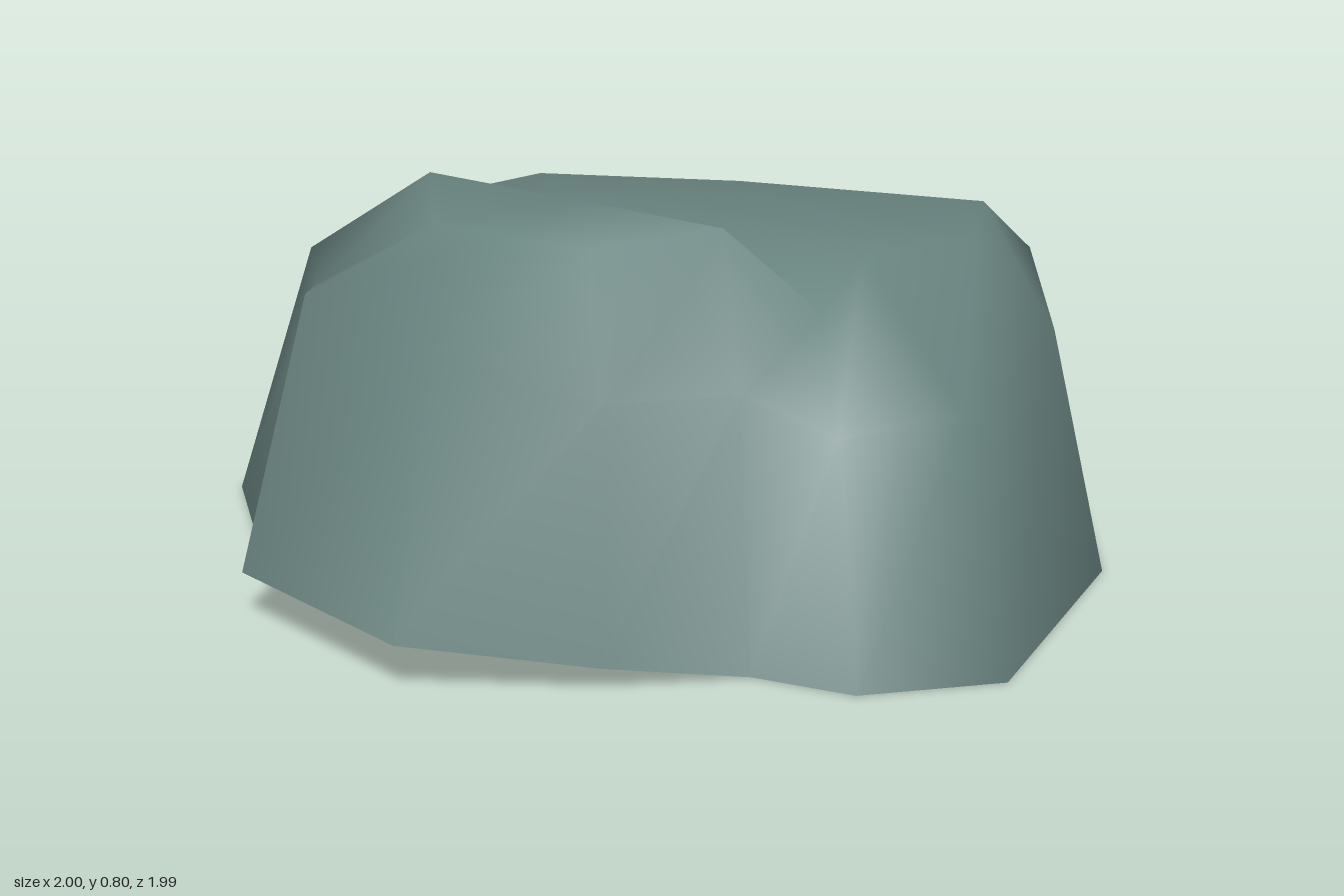
import * as THREE from 'three';

// Each rib climbs the rock from its foot to the shoulder to the rim of the crown: [x, y, z].
const ribs = [
  [[0.28, 0, -1], [0.27, 0.515, -0.85], [0.24, 0.635, -0.72]],
  [[0.76, 0, -0.44], [0.67, 0.5, -0.38], [0.5, 0.67, -0.34]],
  [[1, 0, 0.21], [0.83, 0.47, 0.13], [0.53, 0.71, 0.06]],
  [[0.83, 0, 0.45], [0.72, 0.45, 0.37], [0.63, 0.665, 0.31]],
  [[0.62, 0, 0.5], [0.5, 0.5, 0.39], [0.39, 0.79, 0.31]],
  [[0.46, 0.045, 0.74], [0.39, 0.52, 0.65], [0.29, 0.785, 0.57]],
  [[0.17, 0.09, 0.99], [0.13, 0.61, 0.83], [0.1, 0.78, 0.6]],
  [[-0.35, 0.09, 0.88], [-0.3, 0.63, 0.74], [-0.12, 0.765, 0.57]],
  [[-0.44, 0, 0.72], [-0.4, 0.61, 0.61], [-0.33, 0.8, 0.36]],
  [[-0.97, 0, 0.3], [-0.82, 0.54, 0.22], [-0.7, 0.63, 0.15]],
  [[-1, 0, -0.53], [-0.87, 0.46, -0.48], [-0.78, 0.59, -0.45]],
  [[-0.53, 0, -0.91], [-0.46, 0.52, -0.79], [-0.27, 0.635, -0.53]],
];
const crown = [0.03, 0.797, 0.34];

export function createModel() {
  const stone = new THREE.MeshStandardMaterial({ color: 0x6b8682, side: THREE.DoubleSide });
  stone.name = 'greyGreenStone';

  const index = [];
  const levels = ribs[0].length;
  const top = ribs.length * levels;
  for (let i = 0; i < ribs.length; i++) {
    const a = i * levels;
    const b = ((i + 1) % ribs.length) * levels;
    // Side walls between neighbouring ribs
    for (let j = 0; j < levels - 1; j++) {
      index.push(a + j, a + j + 1, b + j, b + j, a + j + 1, b + j + 1);
    }
    // Crown fan
    index.push(a + levels - 1, top, b + levels - 1);
  }

  const geometry = new THREE.BufferGeometry();
  geometry.setAttribute('position', new THREE.Float32BufferAttribute([...ribs.flat(2), ...crown], 3));
  geometry.setIndex(index);
  geometry.computeVertexNormals();

  const rock = new THREE.Mesh(geometry, stone);
  rock.name = 'rockShell';
  const group = new THREE.Group();
  group.name = 'rock';
  group.add(rock);
  return group;
}
